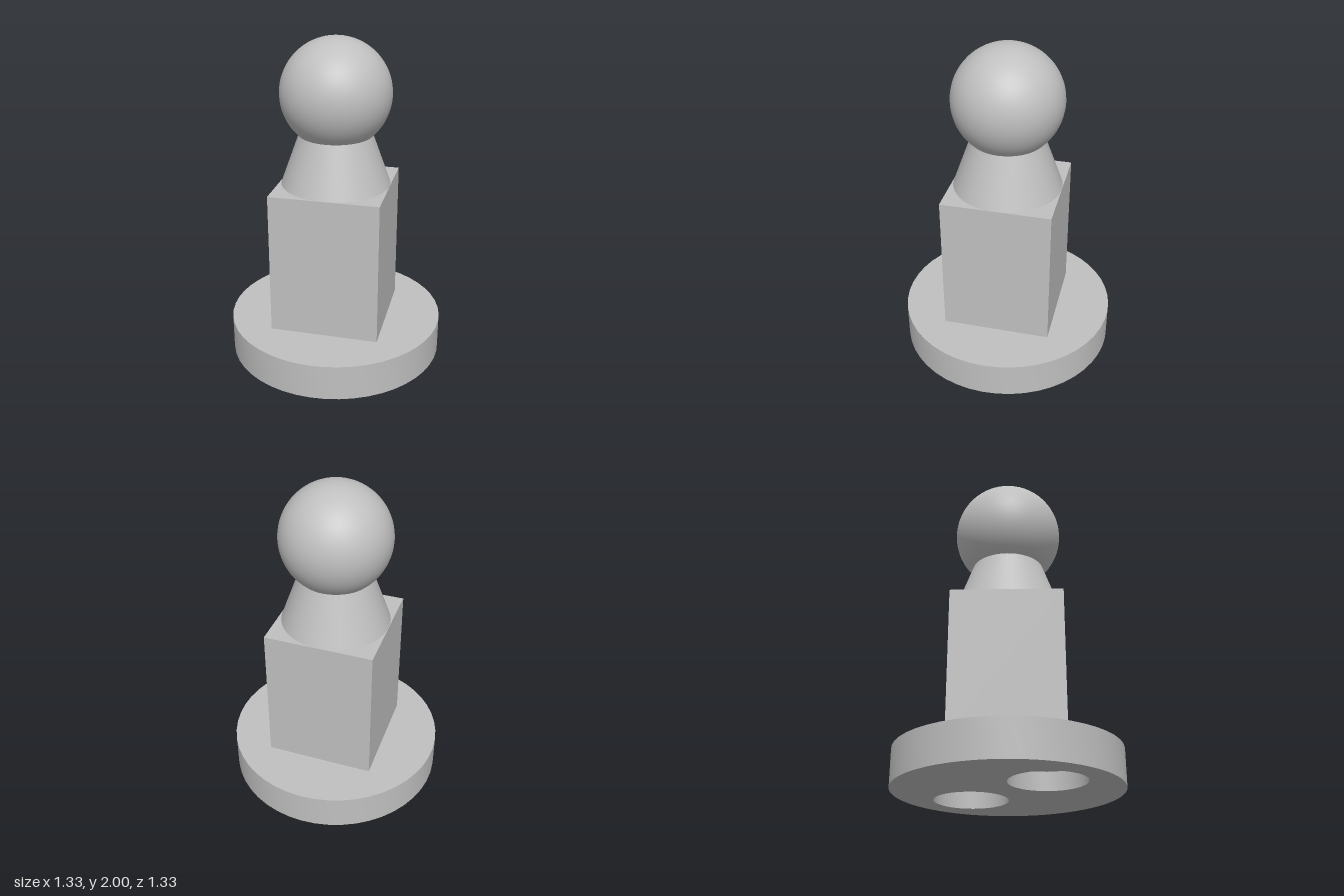
import * as THREE from 'three';
import { toCreasedNormals } from 'three/addons/utils/BufferGeometryUtils.js';

const SEGMENTS = 48;
const BASE_R = 0.667, BASE_H = 0.222;
const SOCKET_R = 0.222, SOCKET_DEPTH = 0.111;
const POST_W = 0.667, POST_TOP = 1.111;
const BALL_R = 0.333, BALL_Y = 1.667, NECK_TOP_R = 0.222;

// Turned shape from [radius, height] pairs, with sharp rims
function turned(profile) {
  const points = profile.map(([r, y]) => new THREE.Vector2(r, y));
  return toCreasedNormals(new THREE.LatheGeometry(points, SEGMENTS), 0.6);
}

export function createModel() {
  const model = new THREE.Group();
  model.name = 'ballPost';
  const grey = new THREE.MeshStandardMaterial({ color: 0xc0c0c0 });
  grey.name = 'light grey';

  function add(name, geometry, x = 0, y = 0, z = 0) {
    const mesh = new THREE.Mesh(geometry, grey);
    mesh.name = name;
    mesh.position.set(x, y, z);
    model.add(mesh);
  }

  // Round base: rim and top
  add('base', turned([[BASE_R, 0], [BASE_R, BASE_H], [0, BASE_H]]));

  // Underside with two blind sockets on a diagonal
  const underside = new THREE.Shape().absarc(0, 0, BASE_R, 0, Math.PI * 2);
  for (const side of [1, -1]) {
    const x = side * 0.222, z = -side * 0.222;
    underside.holes.push(new THREE.Path().absarc(x, z, SOCKET_R, 0, Math.PI * 2));
    add(side > 0 ? 'leftSocket' : 'rightSocket',
      turned([[0, SOCKET_DEPTH], [SOCKET_R, SOCKET_DEPTH], [SOCKET_R, 0]]), x, 0, z);
  }
  // Shape (x, y) becomes (x, z), facing down
  add('underside', new THREE.ShapeGeometry(underside, SEGMENTS).rotateX(Math.PI / 2));

  // Square post
  add('post', new THREE.BoxGeometry(POST_W, POST_TOP - BASE_H, POST_W), 0, (POST_TOP + BASE_H) / 2, 0);

  // Tapered neck meeting the ball where the ball is as wide as the neck
  const neckTop = BALL_Y - Math.sqrt(BALL_R ** 2 - NECK_TOP_R ** 2);
  add('neck', new THREE.CylinderGeometry(NECK_TOP_R, BALL_R, neckTop - POST_TOP, SEGMENTS, 1, true),
    0, (neckTop + POST_TOP) / 2, 0);

  // Ball, cut off at the neck
  const cut = Math.PI - Math.asin(NECK_TOP_R / BALL_R);
  add('ball', new THREE.SphereGeometry(BALL_R, SEGMENTS, 32, 0, Math.PI * 2, 0, cut), 0, BALL_Y, 0);

  return model;
}
